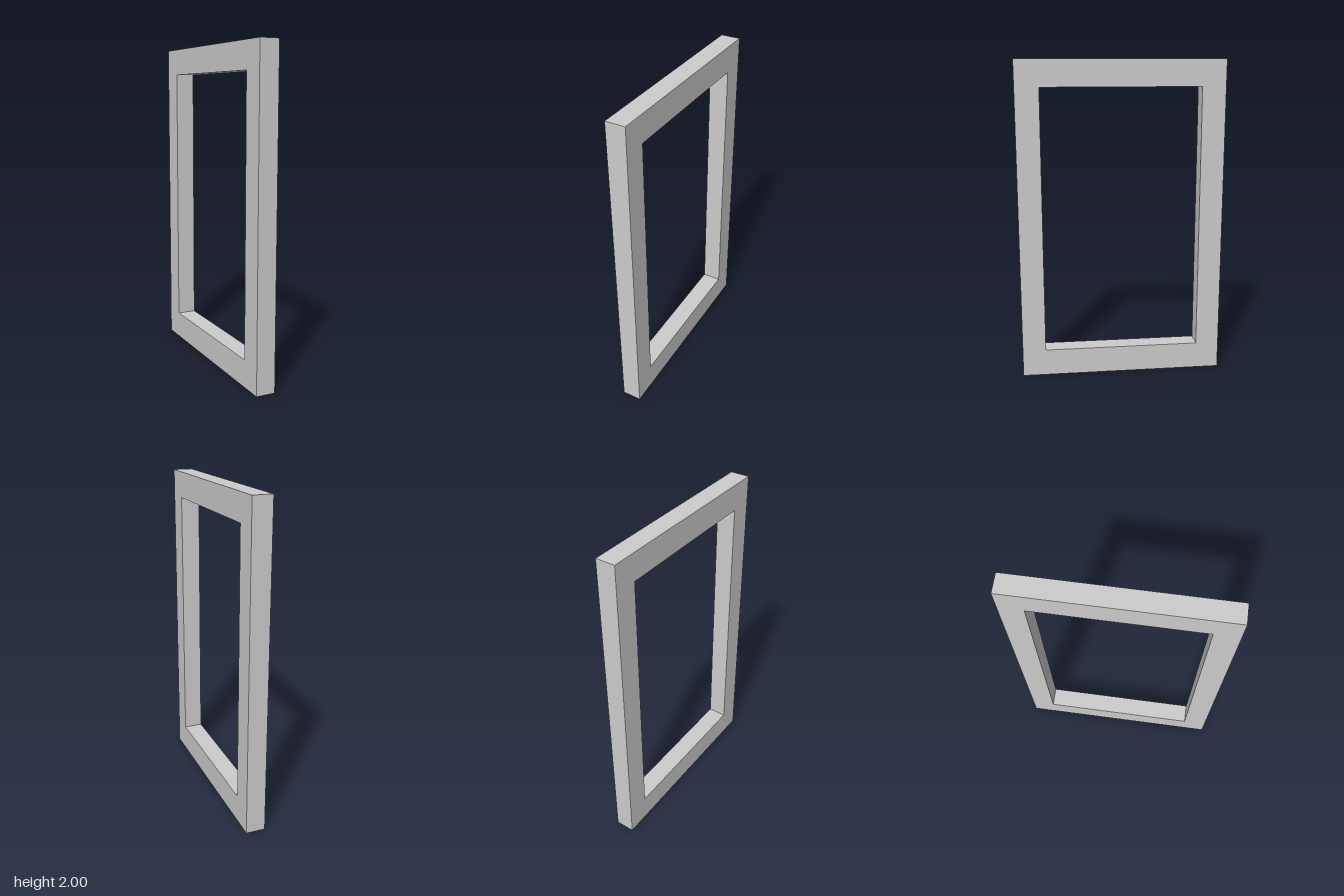
import * as THREE from 'three';

const HEIGHT = 2, WIDTH = 1.28, DEPTH = 0.12;
const OPENING = { width: 0.985, bottom: 0.17, top: 1.835 };

// Closed rectangle centred on the horizontal axis
function rectangle(Type, width, bottom, top) {
  const h = width / 2;
  return new Type([
    new THREE.Vector2(-h, bottom),
    new THREE.Vector2(h, bottom),
    new THREE.Vector2(h, top),
    new THREE.Vector2(-h, top),
  ]);
}

export function createModel() {
  const group = new THREE.Group();
  group.name = 'rectangularFrame';

  // Frame outline with its opening
  const outline = rectangle(THREE.Shape, WIDTH, 0, HEIGHT);
  outline.holes.push(rectangle(THREE.Path, OPENING.width, OPENING.bottom, OPENING.top));

  // Extruded through its depth, then turned so the opening faces sideways
  const geometry = new THREE.ExtrudeGeometry(outline, { depth: DEPTH, bevelEnabled: false });
  geometry.translate(0, 0, -DEPTH / 2);
  geometry.rotateY(Math.PI / 2);

  const frame = new THREE.Mesh(
    geometry,
    new THREE.MeshStandardMaterial({ color: 0xcccccc, flatShading: true })
  );
  frame.name = 'frame';
  group.add(frame);
  return group;
}
